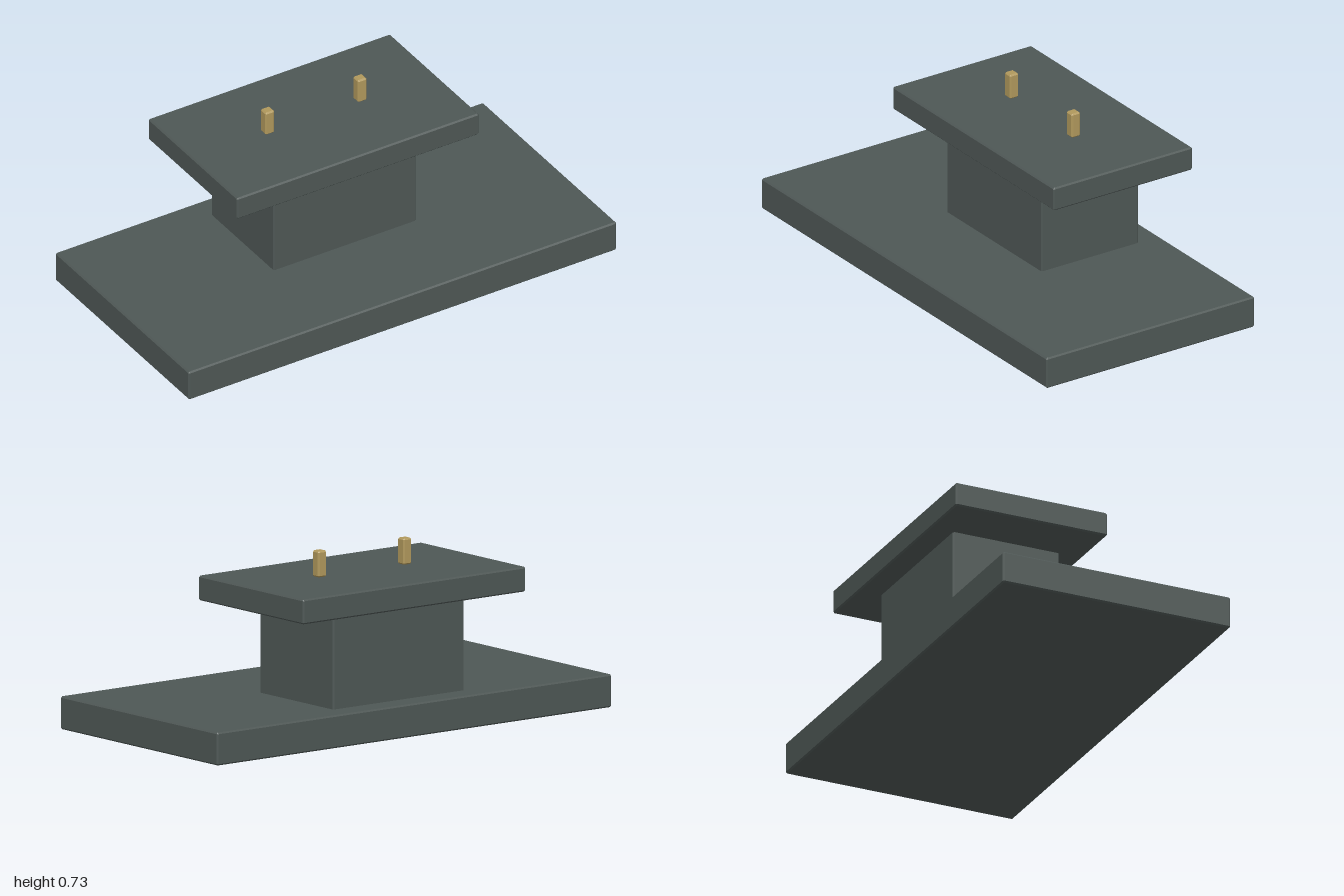
import * as THREE from 'three';
import { ConvexGeometry } from 'three/addons/geometries/ConvexGeometry.js';

// Box with narrow flat chamfers on every edge, given by its limits
function chamferBox(x0, x1, y0, y1, z0, z1, c) {
  const half = [(x1 - x0) / 2, (y1 - y0) / 2, (z1 - z0) / 2];
  const points = [];
  for (const sx of [-1, 1]) for (const sy of [-1, 1]) for (const sz of [-1, 1]) {
    for (let face = 0; face < 3; face++) {
      const [hx, hy, hz] = half.map((h, i) => (i === face ? h : h - c));
      points.push(new THREE.Vector3(sx * hx, sy * hy, sz * hz));
    }
  }
  const geometry = new ConvexGeometry(points);
  geometry.translate((x0 + x1) / 2, (y0 + y1) / 2, (z0 + z1) / 2);
  return geometry;
}

export function createModel() {
  const model = new THREE.Group();
  model.name = 'pedestal';
  const slate = new THREE.MeshStandardMaterial({ color: 0x4e5755 });
  slate.name = 'dark slate';
  const brass = new THREE.MeshStandardMaterial({ color: 0xb0985c });
  brass.name = 'brass';

  const add = (name, geometry, material) => {
    const mesh = new THREE.Mesh(geometry, material);
    mesh.name = name;
    model.add(mesh);
  };

  // Stacked slabs, flush at the back except for the column
  add('base', chamferBox(-1, 1, 0, 0.133, -0.5, 0.5, 0.006), slate);
  add('column', chamferBox(-0.333, 0.333, 0.127, 0.526, -0.4, 0.067, 0.006), slate);
  add('topSlab', chamferBox(-0.565, 0.565, 0.518, 0.618, -0.5, 0.167, 0.006), slate);

  // Pair of pegs hovering just above the top slab
  for (const side of [-1, 1]) {
    const x = side * 0.216;
    add(side > 0 ? 'leftPeg' : 'rightPeg',
      chamferBox(x - 0.021, x + 0.021, 0.622, 0.728, -0.187, -0.145, 0.006), brass);
  }
  return model;
}
